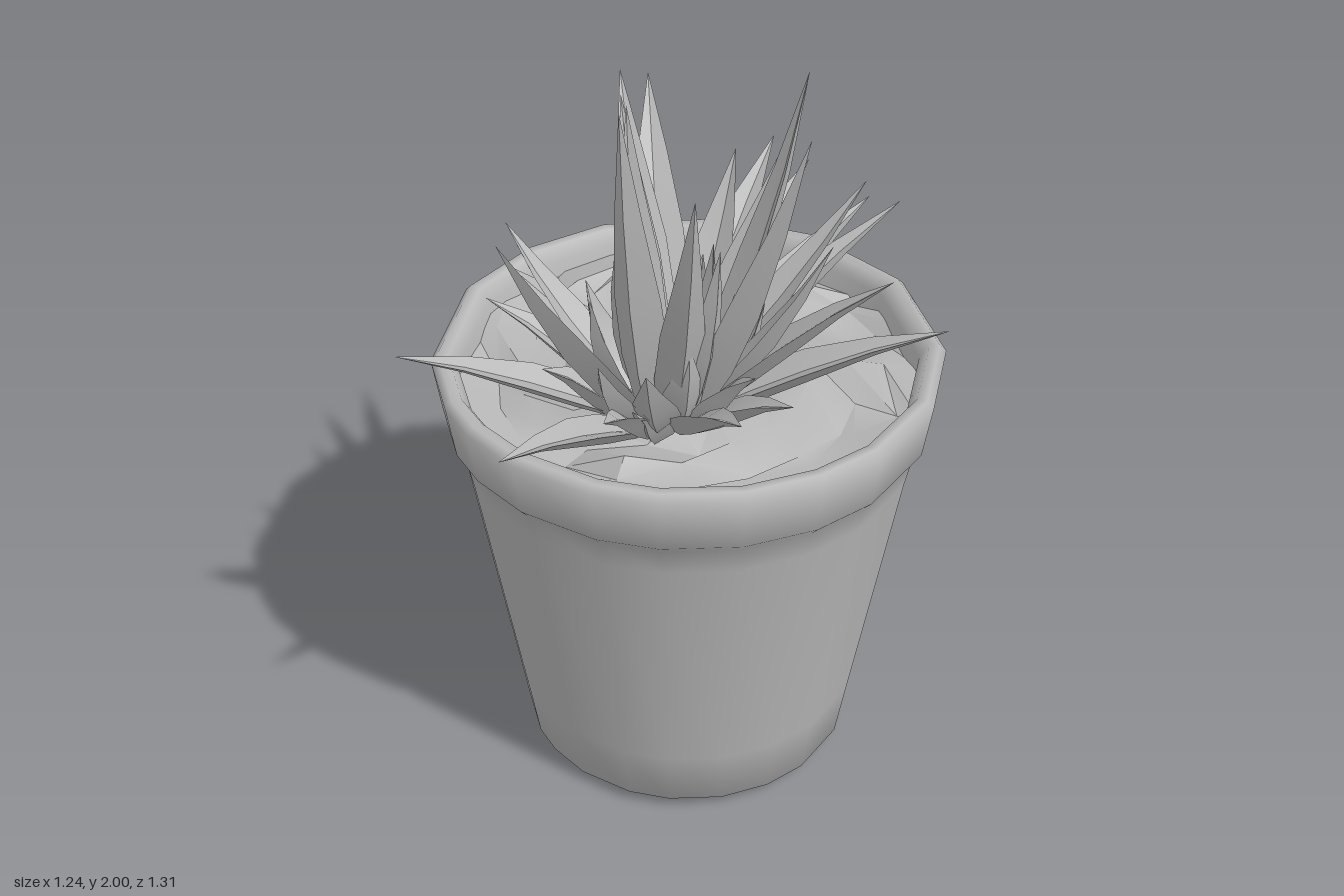
import * as THREE from 'three';
import { toCreasedNormals } from 'three/addons/utils/BufferGeometryUtils.js';

const grey = new THREE.MeshStandardMaterial({ color: 0xb8b8b8 });
grey.name = 'clay grey';

const POT_Z = -0.045;
const CROWN = new THREE.Vector3(0.15, 1.08, 0.13);

function add(group, name, geometry, crease) {
  const mesh = new THREE.Mesh(toCreasedNormals(geometry, crease), grey);
  mesh.name = name;
  group.add(mesh);
  return mesh;
}

// Repeatable pseudo-random value from a position
function hash(x, z) {
  const s = Math.sin(Math.round(x * 100) * 12.99 + Math.round(z * 100) * 78.23) * 43758.55;
  return s - Math.floor(s);
}

// Pointed leaf with a keeled, channelled section swept along a curve; low leaves arch over
function leafGeometry(tip, halfWidth) {
  const out = new THREE.Vector3(tip.x - CROWN.x, 0, tip.z - CROWN.z);
  const reach = out.length();
  out.normalize();
  const rise = tip.y - CROWN.y;
  const base = CROWN.clone().addScaledVector(out, Math.min(0.09, reach * 0.4));
  base.y += Math.min(0.08, rise * 0.15);
  const middle = base.clone().lerp(tip, 0.5);
  if (rise < reach) middle.y += 0.05;
  else middle.addScaledVector(out, 0.04);
  const curve = new THREE.QuadraticBezierCurve3(base, middle, tip);
  const side = out.clone().cross(new THREE.Vector3(0, 1, 0));
  const positions = [], index = [];
  const sections = [[0, 0.7], [0.2, 1.05], [0.42, 1], [0.7, 0.55], [1, 0.01]];
  sections.forEach(([t, k], j) => {
    const p = curve.getPoint(t);
    const up = side.clone().cross(curve.getTangent(t));
    const w = halfWidth * k;
    for (const [s, n] of [[-1, 0.25], [0, -0.6], [1, 0.25], [0, -0.1]]) {
      const v = p.clone().addScaledVector(side, s * w).addScaledVector(up, n * w);
      positions.push(v.x, v.y, v.z);
    }
    if (j === 0) return;
    for (let i = 0; i < 4; i++) {
      const a = (j - 1) * 4 + i, b = (j - 1) * 4 + (i + 1) % 4;
      index.push(a, a + 4, b + 4, a, b + 4, b);
    }
  });
  const geometry = new THREE.BufferGeometry();
  geometry.setAttribute('position', new THREE.Float32BufferAttribute(positions, 3));
  geometry.setIndex(index);
  return geometry;
}

// Lathe whose sides have uneven widths, set by the corner angles in degrees
function unevenLathe(profile, angles) {
  const geometry = new THREE.LatheGeometry(profile, angles.length);
  const p = geometry.attributes.position;
  for (let i = 0; i < p.count; i++) {
    const corner = Math.floor(i / profile.length) % angles.length;
    const a = THREE.MathUtils.degToRad(angles[corner]);
    const r = profile[i % profile.length].x;
    p.setXYZ(i, r * Math.sin(a), p.getY(i), r * Math.cos(a));
  }
  return geometry;
}

export function createModel() {
  const model = new THREE.Group();
  model.name = 'pottedPlant';

  // Tapered pot with a thick rounded rim
  const profile = [
    [0, 0.005], [0.31, 0.005], [0.33, 0], [0.39, 0.003], [0.43, 0.035], [0.455, 0.2],
    [0.565, 0.9], [0.58, 0.975], [0.602, 1.0], [0.622, 1.14], [0.605, 1.157],
    [0.58, 1.155], [0.558, 1.12], [0.545, 1.0],
  ].map(([r, y]) => new THREE.Vector2(r, y));
  const corners = [0, 15, 34, 48, 66, 83, 98, 120, 143, 173, 202, 225, 256, 277, 299, 330, 349];
  const pot = add(model, 'pot', unevenLathe(profile, corners), 1.1);
  pot.position.z = POT_Z;

  // Lumpy soil
  const soilGeometry = new THREE.RingGeometry(0.001, 0.57, 20, 7).rotateX(-Math.PI / 2);
  const p = soilGeometry.attributes.position;
  for (let i = 0; i < p.count; i++) {
    const x = p.getX(i), z = p.getZ(i), r = Math.hypot(x, z);
    const a = hash(x, z), b = hash(z + 3, x);
    const shift = r > 0.5 || r < 0.1 ? 0 : 0.06;
    p.setXYZ(i, x + (a - 0.5) * shift, 1.04 + b * 0.08, z + (b - 0.5) * shift);
  }
  const soil = add(model, 'soil', soilGeometry, 0.5);
  soil.position.z = POT_Z;

  // Leaf tips: x, y, z, half width
  const plant = new THREE.Group();
  plant.name = 'leaves';
  model.add(plant);
  const tips = [
    // tall inner leaves
    [0.29, 2.0, 0.34, 0.055], [0.53, 1.95, 0.04, 0.06], [0.25, 1.93, -0.18, 0.055],
    [0.44, 1.84, 0.26, 0.05], [-0.01, 1.83, 0.12, 0.055], [0.19, 1.73, 0.58, 0.055],
    [0.11, 1.74, -0.27, 0.055], [-0.18, 1.76, 0.02, 0.05],
    // spreading middle leaves
    [-0.36, 1.72, -0.1, 0.06], [-0.46, 1.63, -0.25, 0.065], [-0.24, 1.48, -0.48, 0.06],
    [-0.03, 1.62, -0.2, 0.06], [0.25, 1.52, -0.47, 0.055], [0.24, 1.6, -0.37, 0.055],
    [0.54, 1.54, -0.2, 0.055], [0.45, 1.62, -0.1, 0.05], [-0.2, 1.52, 0.33, 0.05],
    [0.42, 1.45, 0.37, 0.05], [0.03, 1.4, -0.57, 0.06], [0.38, 1.66, 0.15, 0.045],
    // low outer leaves
    [-0.22, 1.39, -0.58, 0.06], [0.6, 1.4, -0.32, 0.06], [0.62, 1.4, 0.27, 0.05],
    [-0.41, 1.25, 0.2, 0.065], [-0.2, 1.27, 0.64, 0.055], [0.27, 1.26, 0.65, 0.055],
    [-0.17, 1.36, 0.41, 0.05], [0.52, 1.3, 0.05, 0.05], [0.33, 1.3, 0.42, 0.05],
    [0.05, 1.28, 0.4, 0.055], [0.4, 1.25, -0.15, 0.055], [-0.1, 1.3, -0.1, 0.055],
    [0.3, 1.24, 0.3, 0.055],
  ];
  // short leaves filling the heart of the plant
  for (let i = 0; i < 14; i++) {
    const a = i * 2.4, r = 0.1 + i * 0.013;
    tips.push([CROWN.x + r * Math.cos(a), 1.56 - i * 0.018, CROWN.z + r * Math.sin(a), 0.05]);
  }
  for (const [x, y, z, w] of tips) {
    add(plant, 'leaf', leafGeometry(new THREE.Vector3(x, y, z), w), 0.6);
  }
  return model;
}
